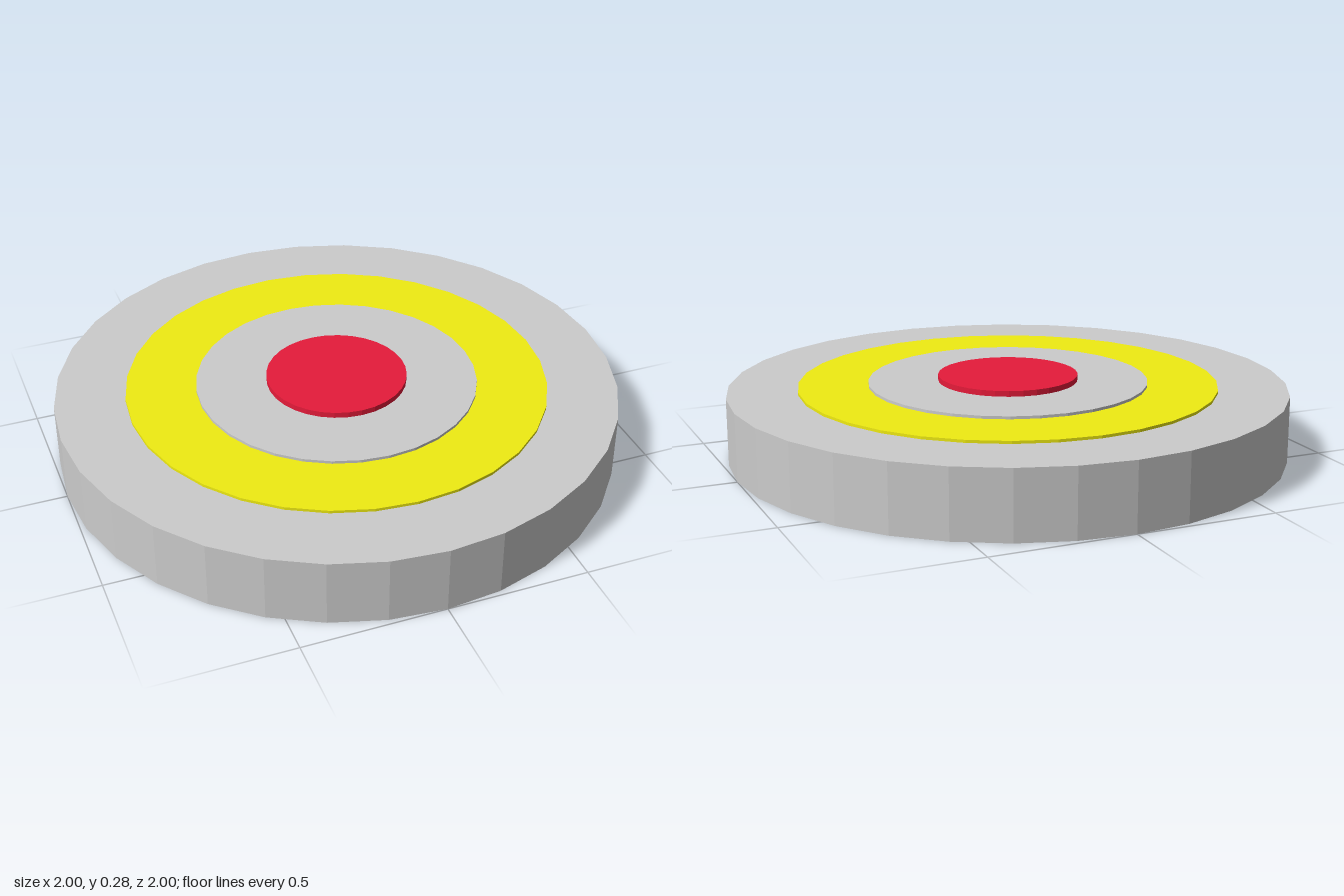
import * as THREE from 'three';

const SIDES = 32;

export function createModel() {
  const model = new THREE.Group();
  model.name = 'target';

  // Stacked discs, from the thick base up to the raised centre
  const discs = [
    { name: 'base', radius: 1, bottom: 0, top: 0.24, color: 0xcccccc },
    { name: 'outerRing', radius: 0.75, bottom: 0.24, top: 0.25, color: 0xf0ec12 },
    { name: 'innerRing', radius: 0.5, bottom: 0.25, top: 0.26, color: 0xcccccc },
    { name: 'centreButton', radius: 0.25, bottom: 0.26, top: 0.28, color: 0xe61b3a },
  ];

  for (const { name, radius, bottom, top, color } of discs) {
    const disc = new THREE.Mesh(
      new THREE.CylinderGeometry(radius, radius, top - bottom, SIDES),
      new THREE.MeshStandardMaterial({ color, flatShading: true })
    );
    disc.name = name;
    disc.position.y = (bottom + top) / 2;
    model.add(disc);
  }

  return model;
}
